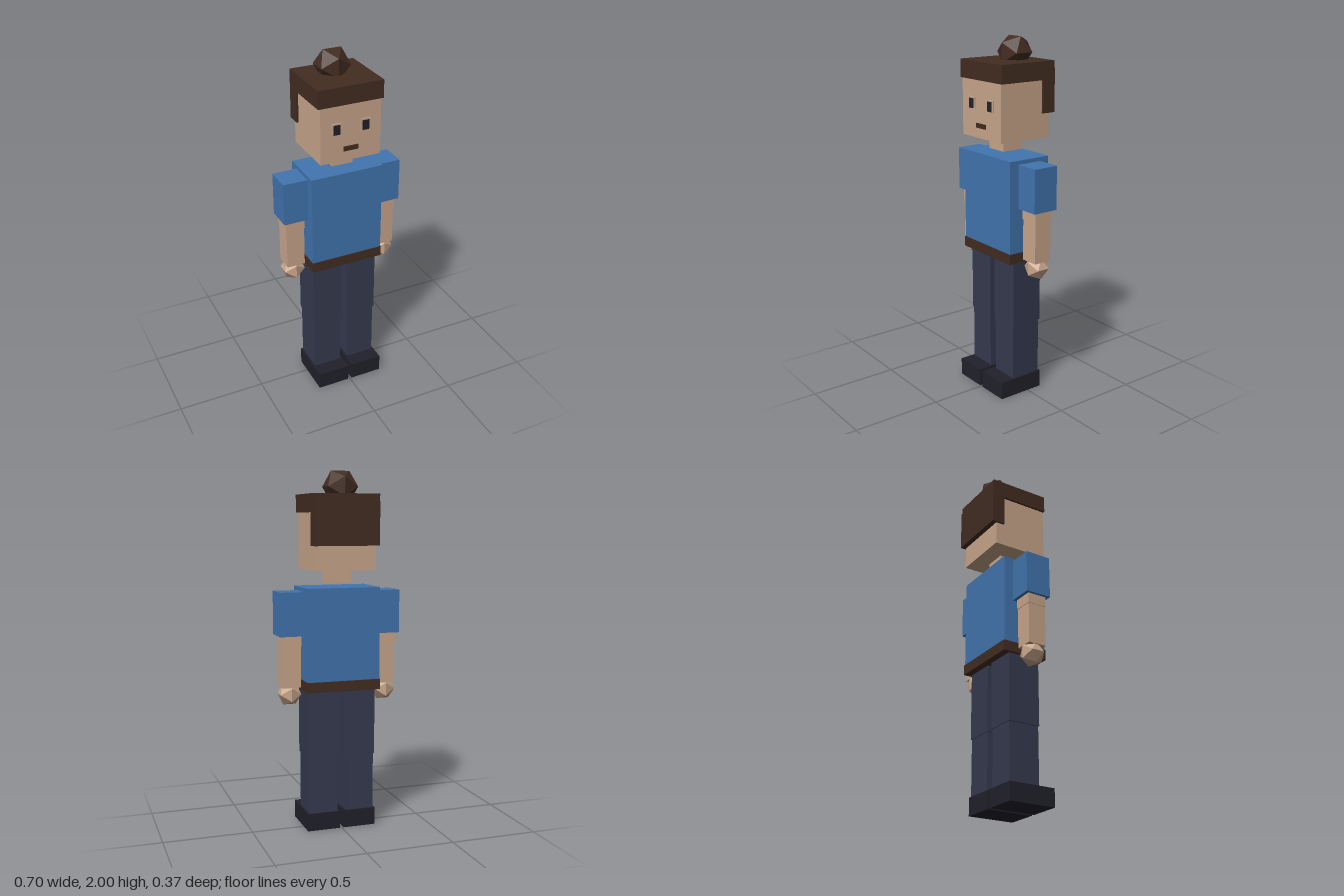
import * as THREE from 'three';

const mat = (name, color) => {
  const m = new THREE.MeshStandardMaterial({ color });
  m.name = name;
  return m;
};

export function createModel() {
  const skin = mat('skin', 0xcaa78c);
  const brown = mat('brown', 0x432d22);
  const blue = mat('shirt blue', 0x4275b0);
  const navy = mat('trouser navy', 0x353a4f);
  const dark = mat('shoe black', 0x21212b);

  const group = new THREE.Group();
  group.name = 'person';

  const add = (name, geometry, material, x, y, z) => {
    const mesh = new THREE.Mesh(geometry, material);
    mesh.name = name;
    mesh.position.set(x, y, z);
    group.add(mesh);
  };
  // Box given by its low and high limit on each axis
  const box = (name, material, [x0, x1], [y0, y1], [z0, z1]) =>
    add(name, new THREE.BoxGeometry(x1 - x0, y1 - y0, z1 - z0), material,
      (x0 + x1) / 2, (y0 + y1) / 2, (z0 + z1) / 2);
  // Same box on the left and the right
  const pair = (name, material, [x0, x1], y, z) => {
    box(name + 'Left', material, [x0, x1], y, z);
    box(name + 'Right', material, [-x1, -x0], y, z);
  };

  // Head and hair
  box('head', skin, [-0.172, 0.172], [1.467, 1.8], [-0.156, 0.167]);
  box('neck', skin, [-0.062, 0.062], [1.393, 1.48], [-0.058, 0.068]);
  box('hairTop', brown, [-0.185, 0.185], [1.778, 1.877], [-0.18, 0.171]);
  box('hairBack', brown, [-0.184, 0.184], [1.6, 1.838], [-0.185, -0.107]);
  add('hairBun', new THREE.IcosahedronGeometry(0.1, 0), brown, 0, 1.915, -0.056);

  // Face
  pair('eyeSurround', skin, [0.052, 0.112], [1.62, 1.685], [0.166, 0.173]);
  pair('eye', dark, [0.064, 0.101], [1.624, 1.677], [0.17, 0.177]);
  box('mouth', brown, [-0.042, 0.042], [1.523, 1.548], [0.166, 0.174]);

  // Torso
  box('shirt', blue, [-0.209, 0.209], [0.81, 1.372], [-0.125, 0.134]);
  box('belt', brown, [-0.212, 0.212], [0.8, 0.858], [-0.13, 0.138]);

  // Arms
  pair('sleeve', blue, [0.205, 0.348], [1.108, 1.35], [-0.07, 0.079]);
  pair('upperArm', skin, [0.222, 0.332], [1.05, 1.2], [-0.051, 0.06]);
  pair('forearm', skin, [0.225, 0.329], [0.82, 1.06], [-0.048, 0.057]);
  for (const [side, s] of [['Left', 1], ['Right', -1]])
    add('hand' + side, new THREE.IcosahedronGeometry(0.07, 0), skin, s * 0.278, 0.78, 0.004);

  // Legs
  pair('thigh', navy, [0.02, 0.195], [0.42, 0.82], [-0.088, 0.099]);
  pair('shin', navy, [0.025, 0.189], [0.09, 0.43], [-0.084, 0.096]);
  pair('shoe', dark, [0.011, 0.2], [0, 0.1], [-0.09, 0.184]);

  return group;
}
